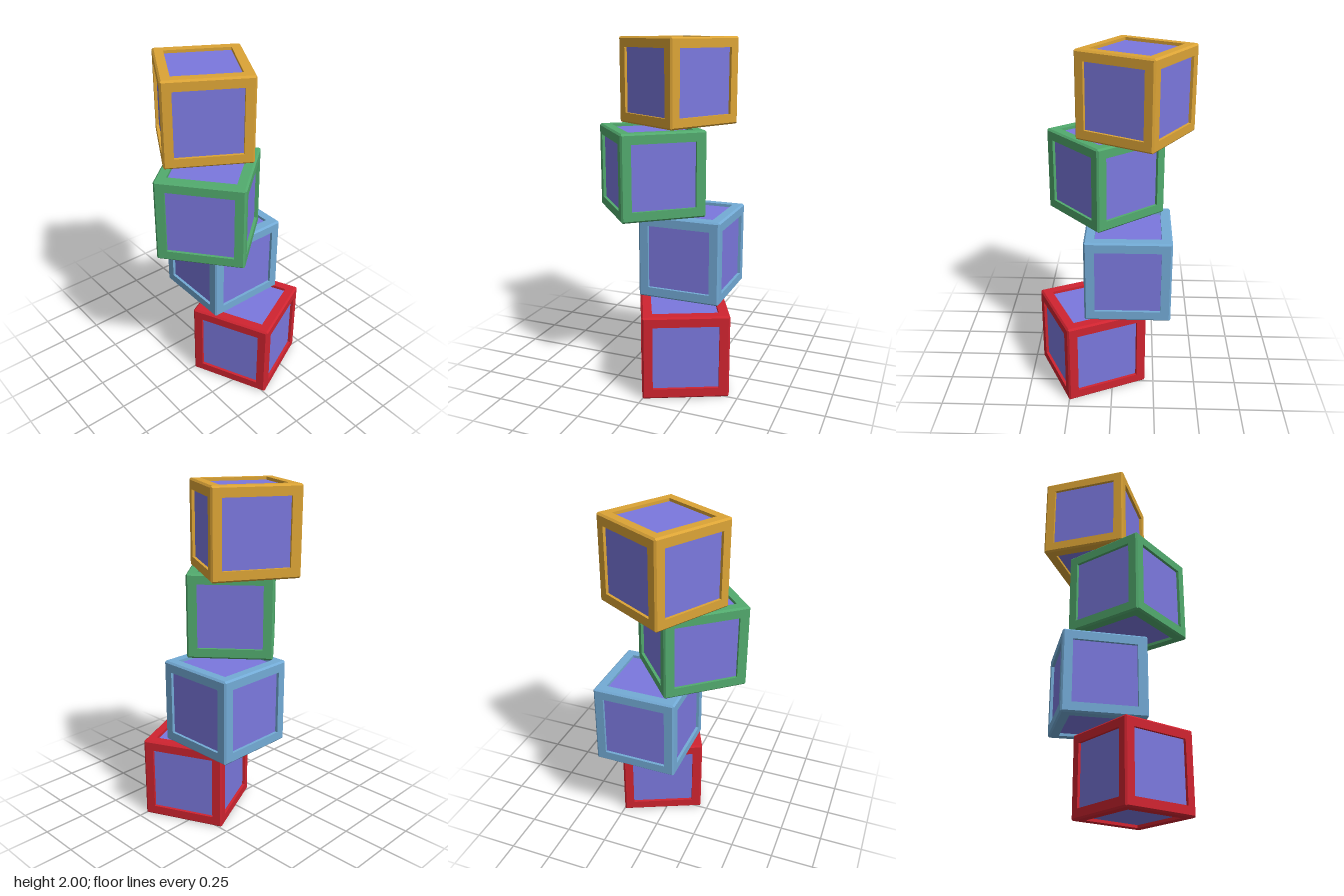
import * as THREE from 'three';
import { mergeGeometries } from 'three/addons/utils/BufferGeometryUtils.js';

const HALF = 0.2475;   // half the block's side
const BEVEL = 0.01;    // chamfer along the block's edges
const OPENING = 0.188; // half the width of the panel opening
const DEPTH = 0.017;   // how far the panels sit back

// Turns that carry the +y face onto each of the six sides
const SIDES = [
  [0, 0], [Math.PI / 2, 0], [Math.PI, 0], [-Math.PI / 2, 0],
  [0, Math.PI / 2], [0, -Math.PI / 2],
];

function onAllSides(face) {
  return mergeGeometries(SIDES.map(([x, z]) => face.clone().rotateX(x).rotateZ(z)));
}

// Four-sided lathe: half chamfer, flat border, then the wall of the opening
function frameGeometry() {
  const profile = [
    [HALF - BEVEL / 2, HALF - BEVEL / 2],
    [HALF - BEVEL, HALF],
    [OPENING, HALF],
    [OPENING, HALF - DEPTH],
  ].map(([r, y]) => new THREE.Vector2(r * Math.SQRT2, y));
  const face = new THREE.LatheGeometry(profile, 4, Math.PI / 4).toNonIndexed();
  face.computeVertexNormals();
  return onAllSides(face);
}

function panelGeometry() {
  const face = new THREE.PlaneGeometry(OPENING * 2, OPENING * 2);
  face.rotateX(-Math.PI / 2).translate(0, HALF - DEPTH, 0);
  return onAllSides(face);
}

function paint(name, color) {
  const material = new THREE.MeshStandardMaterial({ color });
  material.name = name;
  return material;
}

export function createModel() {
  const model = new THREE.Group();
  model.name = 'blockTower';

  const violet = paint('violet', 0x7b78de);
  const frame = frameGeometry();
  const panels = panelGeometry();

  // Blocks from the bottom up: colour, centre x and z, turn in degrees
  const blocks = [
    ['red', 0xd02430, 0.128, -0.123, 25],
    ['blue', 0x73abd6, -0.089, -0.101, 0],
    ['green', 0x52ab6e, 0.049, 0.106, 40],
    ['gold', 0xdca436, -0.125, 0.009, -30],
  ];
  const step = (2 - HALF * 2) / (blocks.length - 1);

  blocks.forEach(([name, color, x, z, turn], i) => {
    const block = new THREE.Group();
    block.name = name + 'Block';

    const frameMesh = new THREE.Mesh(frame, paint(name, color));
    frameMesh.name = name + 'Frame';
    const panelMesh = new THREE.Mesh(panels, violet);
    panelMesh.name = name + 'BlockPanels';

    block.add(frameMesh, panelMesh);
    block.position.set(x, HALF + i * step, z);
    block.rotation.y = THREE.MathUtils.degToRad(turn);
    model.add(block);
  });

  return model;
}
